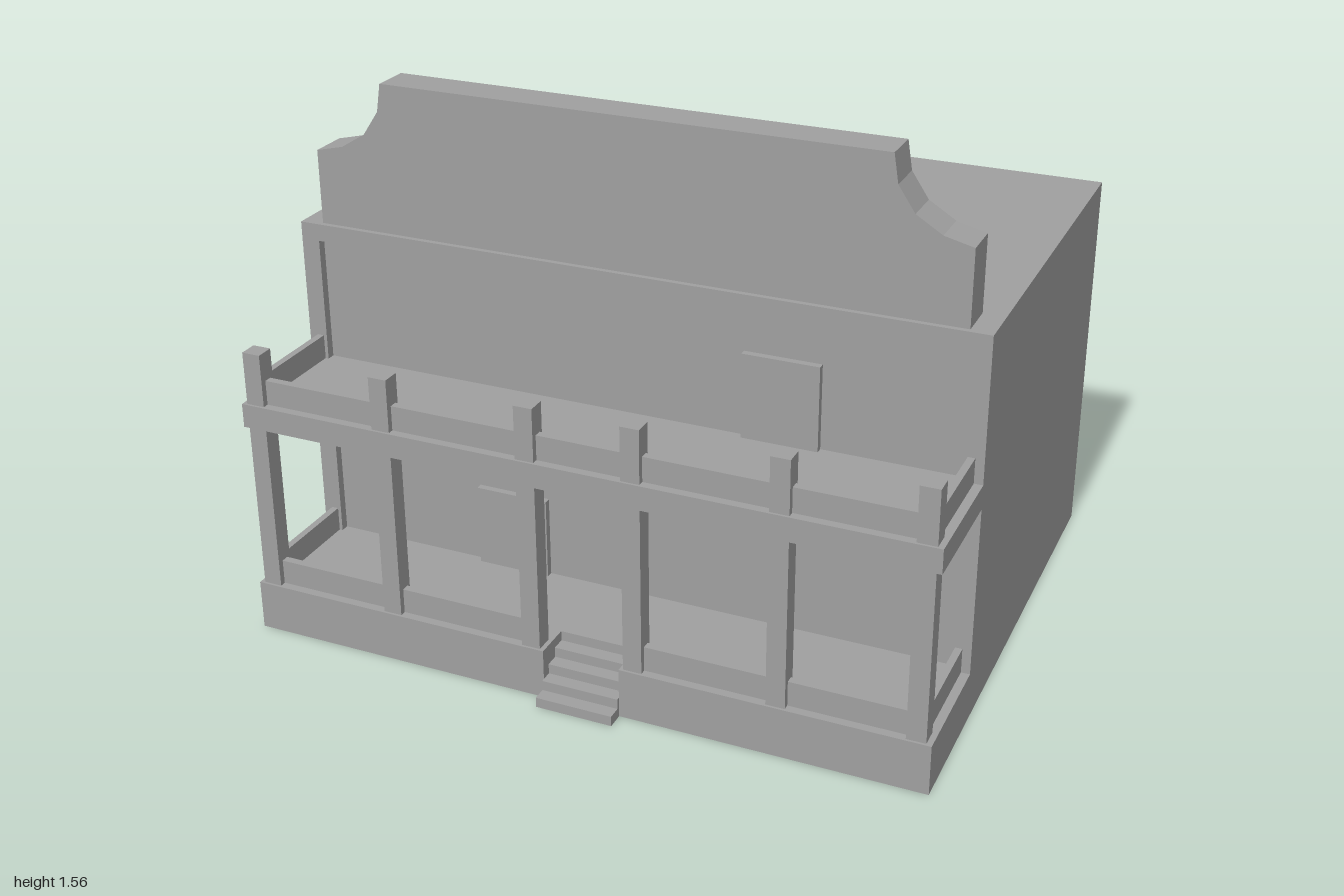
import * as THREE from 'three';

export function createModel() {
  const root = new THREE.Group();
  const grey = new THREE.MeshStandardMaterial({ color: 0xa0a0a0 });
  grey.name = 'plain grey';

  const add = (name, geometry) => {
    const mesh = new THREE.Mesh(geometry, grey);
    mesh.name = name;
    root.add(mesh);
    return mesh;
  };
  // Box given by its limits on each axis
  const box = (name, x0, x1, y0, y1, z0, z1) => {
    const mesh = add(name, new THREE.BoxGeometry(x1 - x0, y1 - y0, z1 - z0));
    mesh.position.set((x0 + x1) / 2, (y0 + y1) / 2, (z0 + z1) / 2);
    return mesh;
  };

  // Main building with a raised frame around the recessed front wall
  box('building', -1, 1, 0, 1.13, -0.81, 0.385);
  box('frameTop', -1, 1, 1.08, 1.13, 0.385, 0.41);
  box('frameLeft', 0.935, 1, 0, 1.08, 0.385, 0.41);
  box('frameRight', -1, -0.945, 0, 1.08, 0.385, 0.41);

  // Porch base, notched for the steps
  const stepL = -0.09, stepR = 0.135, baseTop = 0.147;
  box('porchBaseRight', -1, stepL, 0, baseTop, 0.385, 0.76);
  box('porchBaseLeft', stepR, 1, 0, baseTop, 0.385, 0.76);
  box('porchBaseMiddle', stepL, stepR, 0, baseTop, 0.385, 0.65);
  for (let i = 0; i < 4; i++) {
    box('step', stepL, stepR, 0, 0.0294 * (i + 1), 0.65, 0.81 - i * 0.04);
  }

  // Balcony slab
  box('balcony', -1, 1, 0.645, 0.715, 0.385, 0.76);

  // Posts on both storeys
  const posts = [-0.96, -0.563, -0.13, 0.172, 0.578, 0.957];
  for (const x of posts) {
    box('lowerPost', x - 0.027, x + 0.027, baseTop, 0.645, 0.70, 0.753);
    box('upperPost', x - 0.027, x + 0.027, 0.715, 0.87, 0.70, 0.753);
  }

  // Low railings, with an opening at the steps
  for (let i = 0; i < posts.length - 1; i++) {
    const a = posts[i] + 0.027, b = posts[i + 1] - 0.027;
    if (i !== 2) box('lowerRail', a, b, baseTop, 0.22, 0.712, 0.735);
    box('upperRail', a, b, 0.715, 0.787, 0.712, 0.735);
  }
  for (const x of [-0.965, 0.965]) {
    box('lowerSideRail', x - 0.01, x + 0.01, baseTop, 0.22, 0.41, 0.70);
    box('upperSideRail', x - 0.01, x + 0.01, 0.715, 0.787, 0.41, 0.70);
  }

  // Doors
  box('lowerDoor', -0.475, -0.255, baseTop, 0.39, 0.385, 0.405);
  box('upperDoor', 0.335, 0.553, 0.715, 0.96, 0.385, 0.405);

  // False front with scooped shoulders
  const side = [[0.937, 1.13], [0.937, 1.345], [0.855, 1.365], [0.782, 1.41], [0.735, 1.48], [0.722, 1.56]];
  const outline = [...side, ...side.map(([x, y]) => [-x, y]).reverse()];
  const shape = new THREE.Shape(outline.map(([x, y]) => new THREE.Vector2(x, y)));
  add('falseFront', new THREE.ExtrudeGeometry(shape, { depth: 0.112, bevelEnabled: false })).position.z = 0.283;

  // Slanted braces and the bar joining them
  const brace = new THREE.Shape([[0.138, 1.13], [0.165, 1.13], [0.283, 1.30], [0.283, 1.345]]
    .map(([z, y]) => new THREE.Vector2(-z, y)));
  for (const x of [0.03, 0.527]) {
    const mesh = add('brace', new THREE.ExtrudeGeometry(brace, { depth: 0.02, bevelEnabled: false }));
    mesh.rotation.y = Math.PI / 2;
    mesh.position.x = x - 0.01;
  }
  box('braceBar', -0.51, 0.55, 1.21, 1.23, 0.2, 0.222);

  return root;
}
